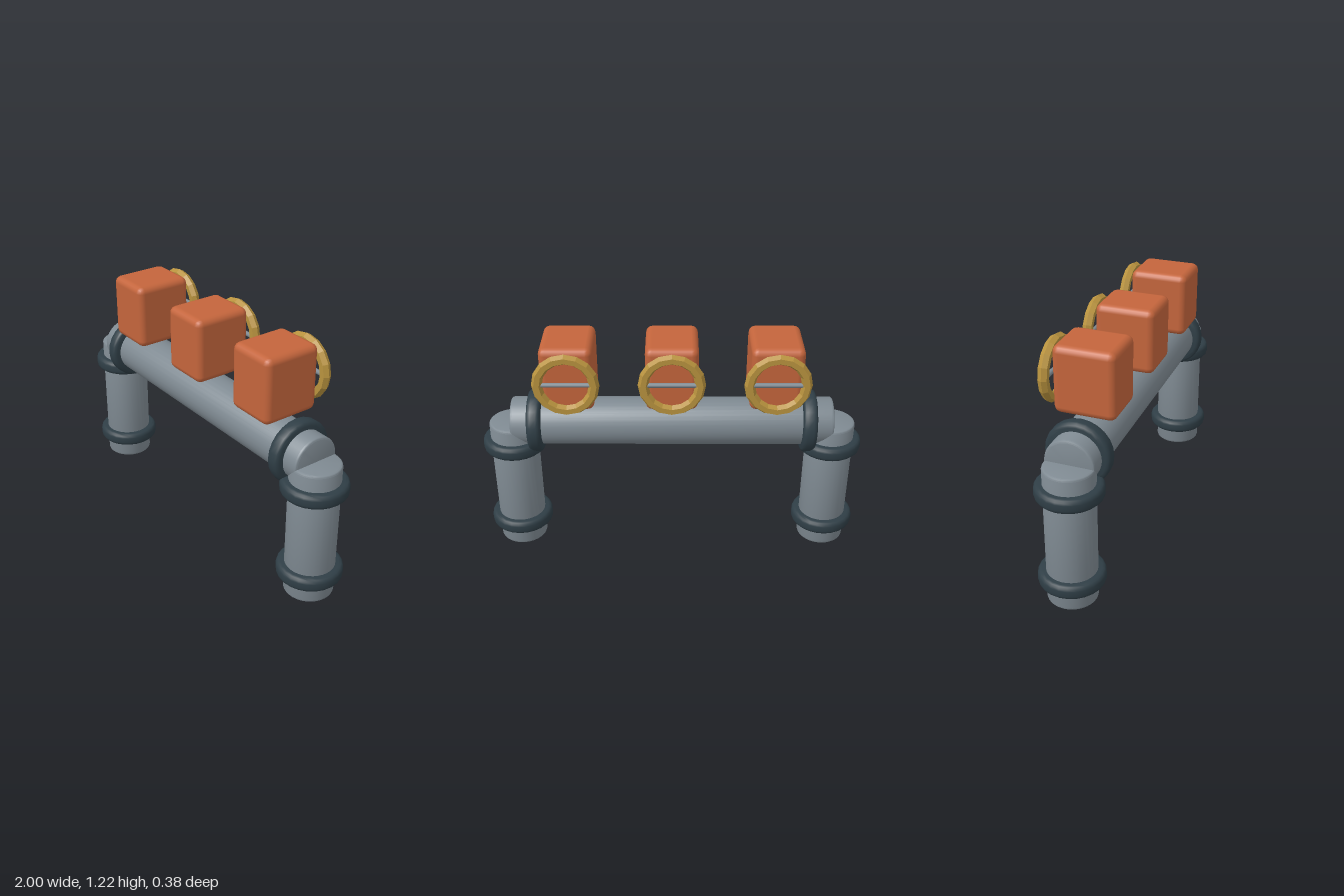
import * as THREE from 'three';
import { toCreasedNormals } from 'three/addons/utils/BufferGeometryUtils.js';
import { RoundedBoxGeometry } from 'three/addons/geometries/RoundedBoxGeometry.js';

const steel = new THREE.MeshStandardMaterial({ name: 'steel grey', color: 0x7f8a92 });
const rubber = new THREE.MeshStandardMaterial({ name: 'dark slate', color: 0x2f3e46 });
const orange = new THREE.MeshStandardMaterial({ name: 'burnt orange', color: 0xc4653c });
const brass = new THREE.MeshStandardMaterial({ name: 'brass', color: 0xb8923e });

const PIPE_Z = 0.025;

// Cylinder along y, centred, with rounded rims
function roundedCylinder(radius, height, bevel, sides) {
  const h = height / 2;
  const pts = [new THREE.Vector2(0, -h)];
  for (const end of [-1, 1]) {
    for (let i = 0; i <= 3; i++) {
      const a = (end < 0 ? i - 3 : i) * Math.PI / 6;
      pts.push(new THREE.Vector2(
        radius - bevel + bevel * Math.cos(a),
        end * (h - bevel) + bevel * Math.sin(a)));
    }
  }
  pts.push(new THREE.Vector2(0, h));
  return toCreasedNormals(new THREE.LatheGeometry(pts, sides), 0.6);
}

function add(parent, name, geometry, material, x, y, z) {
  const mesh = new THREE.Mesh(geometry, material);
  mesh.name = name;
  mesh.position.set(x, y, z);
  parent.add(mesh);
  return mesh;
}

export function createModel() {
  const model = new THREE.Group();
  model.name = 'pipeManifold';

  // Horizontal main pipe
  add(model, 'mainPipe', roundedCylinder(0.125, 1.67, 0.012, 32), steel, 0, 0.73, PIPE_Z)
    .rotation.z = Math.PI / 2;

  // Legs with collars, mirrored left and right
  const legGeo = roundedCylinder(0.125, 0.73, 0.012, 32);
  const collarGeo = roundedCylinder(0.165, 0.073, 0.022, 24);
  for (const side of [1, -1]) {
    const leg = new THREE.Group();
    leg.name = side > 0 ? 'leftLeg' : 'rightLeg';
    add(leg, 'legPipe', legGeo, steel, side * 0.835, 0.365, PIPE_Z);
    add(leg, 'lowerCollar', collarGeo, rubber, side * 0.835, 0.128, PIPE_Z);
    add(leg, 'upperCollar', collarGeo, rubber, side * 0.835, 0.607, PIPE_Z);
    add(leg, 'mainPipeCollar', collarGeo, rubber, side * 0.71, 0.73, PIPE_Z)
      .rotation.z = Math.PI / 2;
    model.add(leg);
  }

  // Three valve boxes, each with a handwheel behind it
  const boxGeo = new RoundedBoxGeometry(0.265, 0.34, 0.31, 2, 0.035);
  const rimGeo = toCreasedNormals(new THREE.TorusGeometry(0.141, 0.027, 6, 16), 0.1);
  const barGeo = new THREE.CylinderGeometry(0.012, 0.012, 0.28, 12);
  for (const x of [-0.522, 0, 0.522]) {
    const valve = new THREE.Group();
    valve.name = 'valve';
    valve.position.set(x, 1.045, 0);
    add(valve, 'valveBox', boxGeo, orange, 0, 0, PIPE_Z);
    add(valve, 'handwheelRim', rimGeo, brass, 0, 0, -0.165);
    add(valve, 'handwheelBar', barGeo, steel, 0, 0, -0.165).rotation.z = Math.PI / 2;
    model.add(valve);
  }
  return model;
}
